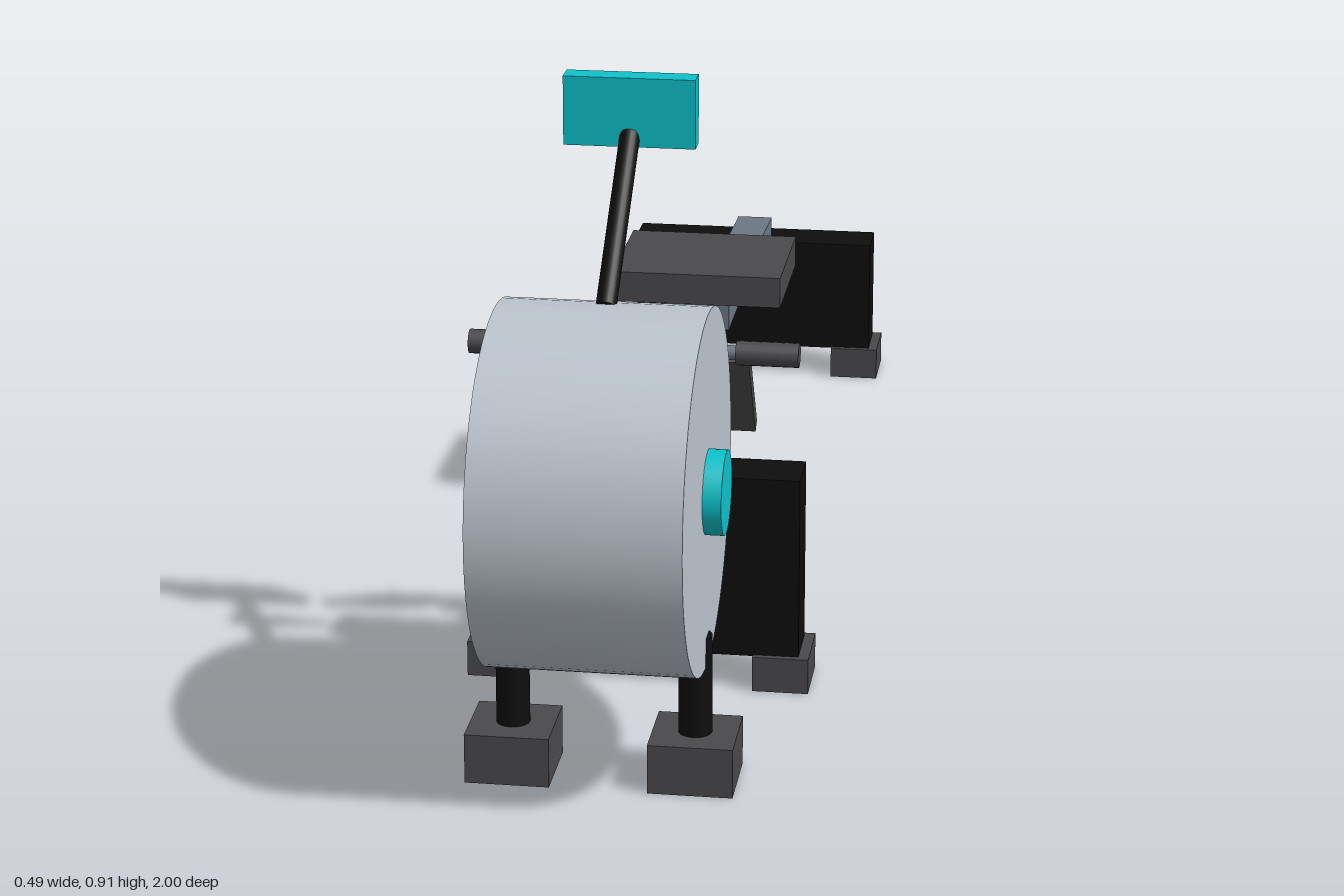
import * as THREE from 'three';

export function createModel() {
  const mat = (name, color) => {
    const m = new THREE.MeshStandardMaterial({ color });
    m.name = name;
    return m;
  };
  const silver = mat('silver', 0xbcc4cd);
  const teal = mat('teal', 0x0ec2cc);
  const black = mat('black', 0x0e0e0e);
  const charcoal = mat('charcoal', 0x4a4a4d);
  const steel = mat('steel', 0x6c7885);

  const model = new THREE.Group();
  model.name = 'rowingMachine';

  const add = (name, geo, material, x, y, z) => {
    const mesh = new THREE.Mesh(geo, material);
    mesh.name = name;
    mesh.position.set(x, y, z);
    model.add(mesh);
    return mesh;
  };
  const box = (name, material, w, h, d, x, y, z) =>
    add(name, new THREE.BoxGeometry(w, h, d), material, x, y, z);
  // Round bar between two points
  const rod = (name, material, r, a, b, sides = 20) => {
    const from = new THREE.Vector3(...a), to = new THREE.Vector3(...b);
    const dir = to.clone().sub(from);
    const mid = from.clone().add(to).multiplyScalar(0.5);
    const mesh = add(name, new THREE.CylinderGeometry(r, r, dir.length(), sides), material, mid.x, mid.y, mid.z);
    mesh.quaternion.setFromUnitVectors(new THREE.Vector3(0, 1, 0), dir.normalize());
    return mesh;
  };

  // Flywheel drum and its hub
  rod('flywheelDrum', silver, 0.245, [-0.14, 0.414, 0.755], [0.14, 0.414, 0.755], 64);
  rod('flywheelHub', teal, 0.057, [-0.165, 0.414, 0.755], [0.165, 0.414, 0.755], 40);

  // Display on its arm
  rod('displayArm', black, 0.014, [0, 0.65, 0.717], [0, 0.825, 0.502]);
  box('display', teal, 0.18, 0.096, 0.034, 0, 0.858, 0.492);

  // Sloping rail and its link to the drum
  const railFront = [0.337, 0.447], railBack = [0.256, -0.945];
  const dy = railFront[0] - railBack[0], dz = railFront[1] - railBack[1];
  const rail = box('rail', steel, 0.058, 0.034, Math.hypot(dy, dz), 0,
    (railFront[0] + railBack[0]) / 2, (railFront[1] + railBack[1]) / 2);
  rail.rotation.x = -Math.atan2(dy, dz);
  box('railLink', black, 0.03, 0.03, 0.14, 0, 0.336, 0.48);

  // Seat on its carriage
  box('seatCarriage', steel, 0.1, 0.044, 0.195, 0, 0.344, -0.278);
  box('seat', charcoal, 0.262, 0.048, 0.22, 0, 0.389, -0.28);

  // Cross stands
  box('frontStand', black, 0.46, 0.268, 0.08, 0, 0.184, 0.41);
  box('rearStand', black, 0.41, 0.19, 0.08, 0, 0.145, -0.95);

  // Pull handle bar and cord
  rod('handleBar', steel, 0.01, [-0.15, 0.512, 0.475], [0.15, 0.512, 0.475]);
  rod('pullCord', black, 0.006, [0, 0.495, 0.54], [0, 0.512, 0.475], 12);

  // Mirrored parts
  for (const [side, s] of [['left', 1], ['right', -1]]) {
    box(side + 'DrumFoot', charcoal, 0.115, 0.07, 0.112, s * 0.124, 0.035, 0.755);
    rod(side + 'DrumPost', black, 0.023, [s * 0.124, 0.06, 0.755], [s * 0.124, 0.21, 0.755]);
    box(side + 'FrontFoot', charcoal, 0.08, 0.052, 0.098, s * 0.205, 0.026, 0.41);
    box(side + 'RearFoot', charcoal, 0.08, 0.052, 0.098, s * 0.18, 0.026, -0.95);
    rod(side + 'Grip', charcoal, 0.017, [s * 0.143, 0.512, 0.475], [s * 0.23, 0.512, 0.475]);
    const plate = box(side + 'FootPlate', charcoal, 0.118, 0.157, 0.02, s * 0.091, 0.407, 0.339);
    plate.rotation.x = 0.57;
  }
  return model;
}
